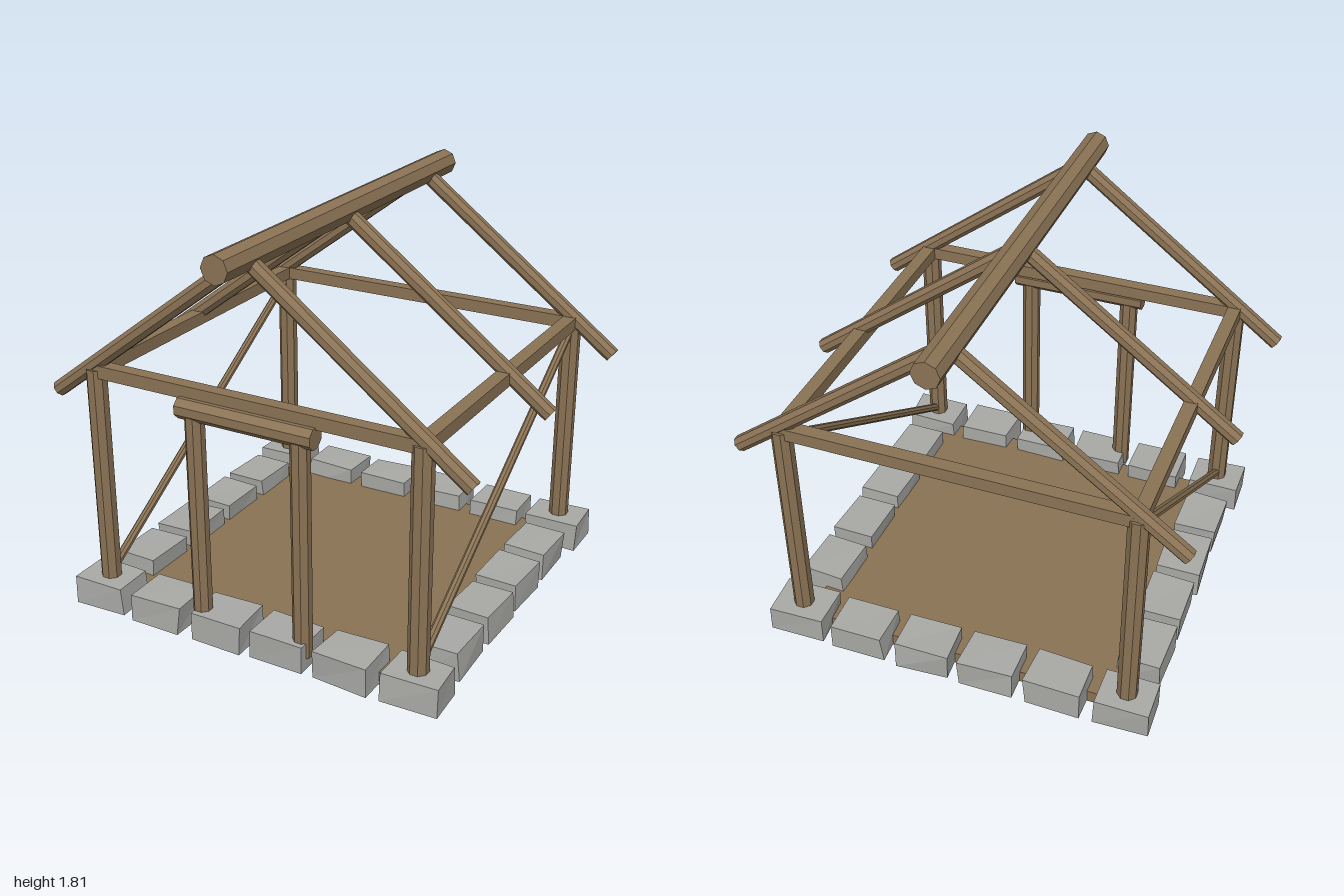
import * as THREE from 'three';

export function createModel() {
  const model = new THREE.Group();
  model.name = 'timberHutFrame';
  const brown = new THREE.MeshStandardMaterial({ name: 'earthy brown', color: 0x8b7355, flatShading: true });
  const grey = new THREE.MeshStandardMaterial({ name: 'stone grey', color: 0xa9a9a6, flatShading: true });

  let seed = 7;
  const jitter = (amount) => {
    seed = (seed * 16807) % 2147483647;
    return (seed / 2147483647 - 0.5) * 2 * amount;
  };

  const add = (name, geometry, material, x = 0, y = 0, z = 0) => {
    const mesh = new THREE.Mesh(geometry, material);
    mesh.name = name;
    mesh.position.set(x, y, z);
    model.add(mesh);
    return mesh;
  };

  // Eight-sided log between two points
  const log = (name, a, b, radius, turn = Math.PI / 8) => {
    const from = new THREE.Vector3(...a), to = new THREE.Vector3(...b);
    const dir = to.clone().sub(from);
    const geometry = new THREE.CylinderGeometry(radius, radius, dir.length(), 8);
    geometry.rotateY(turn);
    const mesh = add(name, geometry, brown);
    mesh.position.copy(from).add(to).multiplyScalar(0.5);
    mesh.quaternion.setFromUnitVectors(new THREE.Vector3(0, 1, 0), dir.normalize());
    return mesh;
  };

  // Rough block: a box with its corners nudged
  const stone = (x, z, width, depth) => {
    const geometry = new THREE.BoxGeometry(width, 0.132, depth);
    const p = geometry.attributes.position;
    const nudges = {};
    for (let i = 0; i < p.count; i++) {
      const key = [p.getX(i) > 0, p.getY(i) > 0, p.getZ(i) > 0].join();
      nudges[key] ??= [jitter(0.008), jitter(0.004), jitter(0.008)];
      const [dx, dy, dz] = nudges[key];
      p.setXYZ(i, p.getX(i) + dx, p.getY(i) + dy, p.getZ(i) + dz);
    }
    geometry.computeVertexNormals();
    add('foundationStone', geometry, grey, x, 0.071, z).rotation.y = jitter(0.03);
  };

  // Earth floor and ring of foundation stones
  add('earthFloor', new THREE.BoxGeometry(1.52, 0.06, 1.52), brown, 0, 0.03, 0);
  for (const side of [-1, 1]) {
    for (const x of [-0.77, -0.462, -0.154, 0.154, 0.462, 0.77]) stone(x, side * 0.77, 0.25, 0.195);
    for (const z of [-0.462, -0.154, 0.154, 0.462]) stone(side * 0.768, z, 0.195, 0.25);
  }

  // Corner posts, squared wall beams and diagonal braces
  for (const side of [-1, 1]) {
    const x = side * 0.77;
    for (const z of [-0.77, 0.77]) log('cornerPost', [x, 0.1, z], [x, 1.135, z], 0.046);
    add('sideBeam', new THREE.BoxGeometry(0.06, 0.058, 1.54), brown, x, 1.13, 0);
    add('endBeam', new THREE.BoxGeometry(1.54, 0.058, 0.06), brown, 0, 1.13, x);
    log('diagonalBrace', [x, 0.15, 0.77], [x, 1.1, -0.77], 0.02);
  }

  // Door frame
  for (const x of [-0.25, 0.25]) log('doorPost', [x, 0.06, 0.8], [x, 1.04, 0.8], 0.043);
  log('doorLintel', [-0.32, 1.065, 0.8], [0.32, 1.065, 0.8], 0.049);

  // Roof: ridge log and three pairs of rafters
  log('ridgeLog', [0, 1.745, -0.98], [0, 1.745, 0.98], 0.061, 0);
  for (const z of [-0.77, 0, 0.77])
    for (const side of [-1, 1]) log('rafter', [0, 1.738, z], [side * 0.978, 1.0, z], 0.036);

  return model;
}
